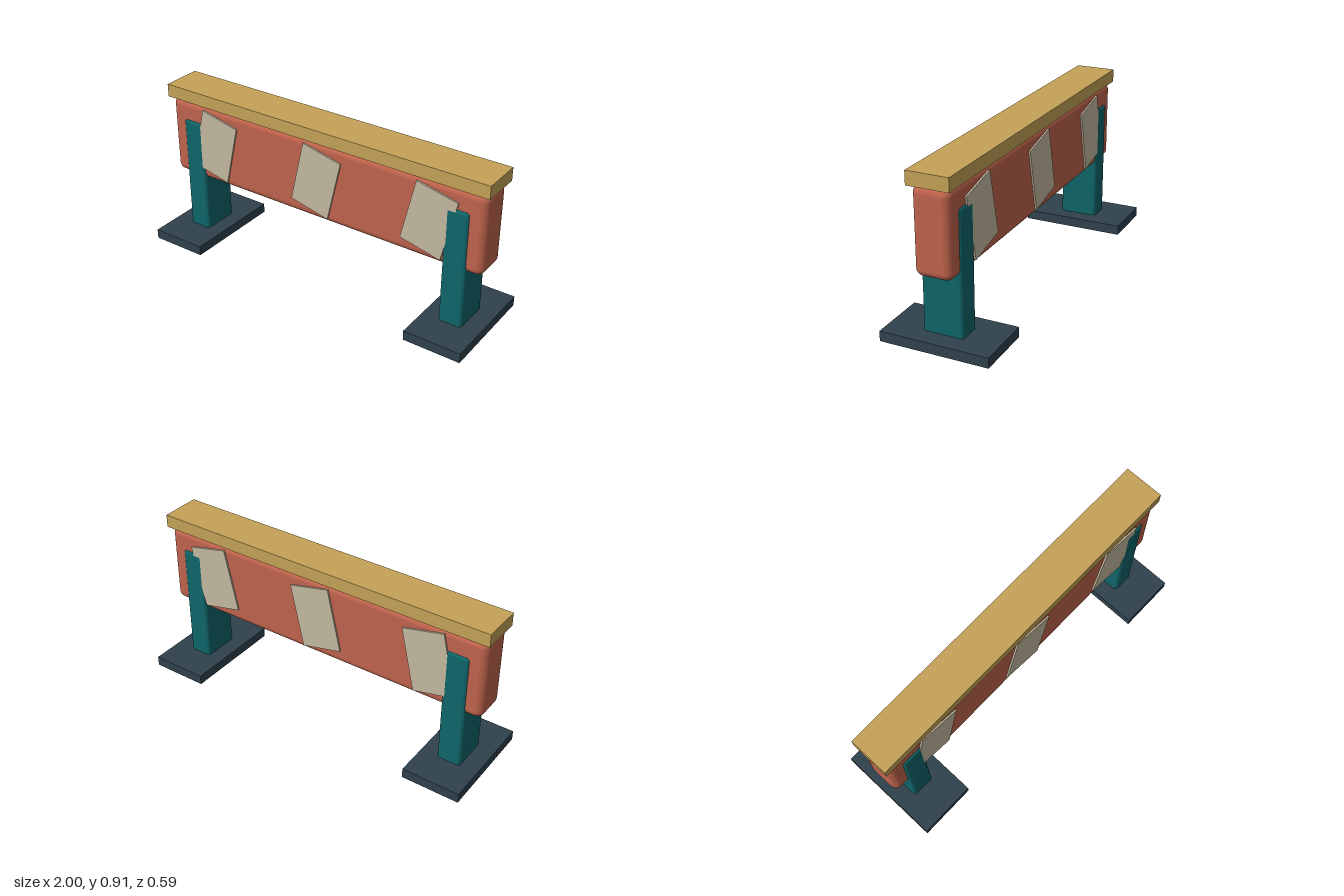
import * as THREE from 'three';
import { RoundedBoxGeometry } from 'three/addons/geometries/RoundedBoxGeometry.js';

function paint(name, color) {
  const m = new THREE.MeshStandardMaterial({ color });
  m.name = name;
  return m;
}

export function createModel() {
  const group = new THREE.Group();
  const terracotta = paint('terracotta', 0xbf634c);
  const teal = paint('teal', 0x0f6569);
  const slate = paint('slate', 0x2f424d);
  const gold = paint('gold', 0xc4a257);
  const cream = paint('cream', 0xc4b9a0);

  function add(name, geometry, material, x, y, z = 0) {
    const mesh = new THREE.Mesh(geometry, material);
    mesh.name = name;
    mesh.position.set(x, y, z);
    group.add(mesh);
    return mesh;
  }

  // Padded barrier body and the flat rail on top
  add('beam', new RoundedBoxGeometry(1.97, 0.458, 0.2, 4, 0.042), terracotta, 0, 0.609);
  add('topRail', new THREE.BoxGeometry(2, 0.073, 0.226), gold, 0, 0.8745);

  // Posts on foot plates, mirrored left and right
  for (const [side, s] of [['left', 1], ['right', -1]]) {
    add(side + 'Post', new RoundedBoxGeometry(0.134, 0.723, 0.22, 3, 0.02), teal, s * 0.833, 0.3635);
    add(side + 'Foot', new THREE.BoxGeometry(0.325, 0.055, 0.59), slate, s * 0.8375, 0.0275);
  }

  // Slanted stripes on the front and back faces
  const stripe = new THREE.BoxGeometry(0.24, 0.36, 0.0095);
  for (const x of [-0.68, 0, 0.68]) {
    for (const [face, s] of [['front', 1], ['back', -1]]) {
      add(face + 'Stripe', stripe, cream, x, 0.612, s * 0.1047).rotation.z = -0.225;
    }
  }
  return group;
}
